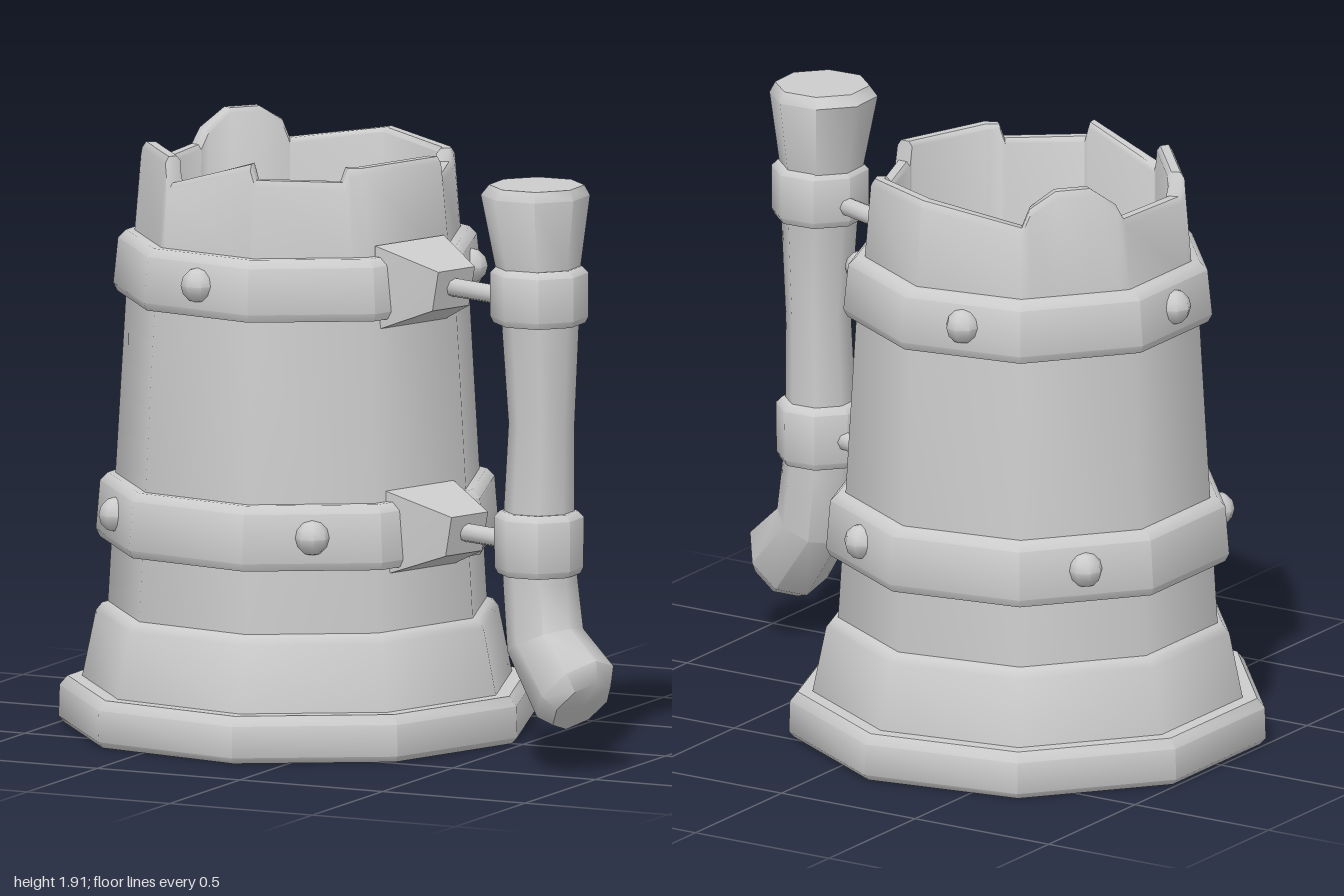
import * as THREE from 'three';
import { toCreasedNormals } from 'three/addons/utils/BufferGeometryUtils.js';

const SIDES = 9, STEP = 360 / SIDES, CX = -0.283, CREASE = 0.85;
const rad = THREE.MathUtils.degToRad;
const material = new THREE.MeshStandardMaterial({ color: 0xcccccc });

function part(parent, name, geometry) {
  const mesh = new THREE.Mesh(toCreasedNormals(geometry, CREASE), material);
  mesh.name = name;
  parent.add(mesh);
  return mesh;
}

// Faceted solid of revolution with a corner pointing along +x
function turned(profile, sides) {
  const points = profile.map(([r, y]) => new THREE.Vector2(r, y));
  return new THREE.LatheGeometry(points, sides, Math.PI / 2);
}

// Skin over columns of points; the last column joins the first
function loft(columns) {
  const n = columns[0].length, index = [];
  columns.forEach((_, i) => {
    const p = i * n, q = ((i + 1) % columns.length) * n;
    for (let j = 0; j < n - 1; j++) {
      index.push(p + j, q + j, p + j + 1, q + j + 1, p + j + 1, q + j);
    }
  });
  const geometry = new THREE.BufferGeometry();
  geometry.setAttribute('position', new THREE.Float32BufferAttribute(columns.flat(2), 3));
  geometry.setIndex(index);
  return geometry;
}

// Band with bevelled edges
const band = (y0, y1, r0, r1, inner, bevel) => [
  [inner, y0], [r0 - bevel * 0.5, y0], [r0, y0 + bevel], [r1, y1 - bevel], [r1 - bevel, y1], [inner, y1],
];

// Broken rim: [angle, height] around the mouth, from +x towards +z
const RIM = [
  [0, 1.79], [1, 1.855], [40, 1.855], [45, 1.855], [47, 1.81], [80, 1.82], [82, 1.87],
  [119, 1.78], [120.5, 1.82], [122, 1.86], [158, 1.86], [160, 1.83], [162, 1.79], [200, 1.80],
  [203, 1.85], [213, 1.91], [227, 1.91], [237, 1.86], [240, 1.80], [280, 1.85],
  [320, 1.83], [323, 1.83], [325, 1.79], [359, 1.79],
];

function rimGeometry() {
  const columns = RIM.map(([angle, h]) => {
    // Keeps every column on the straight sides of the polygon
    const k = Math.cos(rad(STEP / 2)) / Math.cos(rad((angle % STEP) - STEP / 2));
    const section = [
      [0.525, 1.54], [0.503, h - 0.02], [0.49, h], [0.46, h], [0.447, h - 0.015], [0.45, 0.3], [0, 0.3],
    ];
    return section.map(([r, y]) => [r * k * Math.cos(rad(angle)), y, r * k * Math.sin(rad(angle))]);
  });
  return loft(columns.reverse());
}

// Handle rings from the tail upwards: [x, y, tilt, radius]
const HANDLE = [
  [1.285, 0.215, 0.86, 0], [1.283, 0.22, 0.86, 0.11], [1.253, 0.262, 0.86, 0.145],
  [1.117, 0.41, 0.42, 0.125], [1.094, 0.6, 0, 0.118], [1.088, 0.8, 0, 0.112],
  [1.1, 1.1, 0, 0.104], [1.094, 1.42, 0, 0.122], [1.083, 1.6, 0, 0.135],
  [1.072, 1.825, 0, 0.172], [1.078, 1.858, 0, 0.15], [1.078, 1.858, 0, 0],
];

function handleGeometry() {
  const columns = [];
  for (let i = 0; i < 8; i++) {
    const a = (i / 8) * Math.PI * 2;
    columns.push(HANDLE.map(([x, y, tilt, r]) => [
      x + r * Math.sin(a) * Math.cos(tilt), y + r * Math.sin(a) * Math.sin(tilt), r * Math.cos(a),
    ]));
  }
  return loft(columns);
}

// Block along x that narrows from the wall to the rod
function bracketGeometry(x0, x1) {
  const geometry = new THREE.BoxGeometry(x1 - x0, 0.27, 0.3);
  const p = geometry.attributes.position;
  for (let i = 0; i < p.count; i++) {
    if (p.getX(i) > 0) p.setXYZ(i, p.getX(i) + p.getY(i) * 0.1, p.getY(i) * 0.47 + 0.005, p.getZ(i) * 0.53);
  }
  return geometry.translate((x0 + x1) / 2, 0, 0);
}

export function createModel() {
  const model = new THREE.Group();
  model.name = 'tankard';
  const mug = new THREE.Group();
  mug.name = 'mug';
  mug.position.x = CX;
  model.add(mug);

  // Foot, lower step and tapering wall
  part(mug, 'body', turned([
    [0, 0], [0.745, 0], [0.763, 0.02], [0.76, 0.12], [0.735, 0.15], [0.688, 0.15],
    [0.645, 0.36], [0.625, 0.385], [0.607, 0.39], [0.548, 1.4], [0.525, 1.56],
  ], SIDES));
  part(mug, 'brokenRim', rimGeometry());
  part(mug, 'lowerBand', turned(band(0.595, 0.8, 0.645, 0.632, 0.55, 0.025), SIDES));
  part(mug, 'upperBand', turned(band(1.38, 1.575, 0.59, 0.575, 0.5, 0.025), SIDES));

  // Rivets on alternate sides of each band
  const rivets = [[0.7, 0.595, 60, 'lowerRivet'], [1.48, 0.54, 100, 'upperRivet']];
  for (const [y, r, first, name] of rivets) {
    for (let i = 0; i < 4; i++) {
      const a = rad(first + i * 80);
      const rivet = part(mug, name, new THREE.SphereGeometry(0.056, 8, 6));
      rivet.position.set(r * Math.cos(a), y, r * Math.sin(a));
      rivet.rotation.y = -a;
    }
  }

  // Handle assembly sits on the side next to +x
  const handle = new THREE.Group();
  handle.name = 'handleAssembly';
  handle.rotation.y = -rad(STEP / 2);
  mug.add(handle);
  part(handle, 'handle', handleGeometry());
  part(handle, 'lowerHandleRing', turned(band(0.62, 0.82, 0.14, 0.142, 0.09, 0.02), 8)).position.x = 1.088;
  part(handle, 'upperHandleRing', turned(band(1.42, 1.6, 0.155, 0.155, 0.09, 0.02), 8)).position.x = 1.09;

  // Brackets and rods that hold the handle
  for (const [name, y, x0, x1] of [['lower', 0.7, 0.54, 0.76], ['upper', 1.475, 0.5, 0.7]]) {
    part(handle, name + 'Bracket', bracketGeometry(x0, x1)).position.y = y;
    const rod = part(handle, name + 'Rod', new THREE.CylinderGeometry(0.03, 0.03, 0.4, 8).rotateZ(Math.PI / 2));
    rod.position.set(0.87, y + 0.01, 0);
  }
  return model;
}
